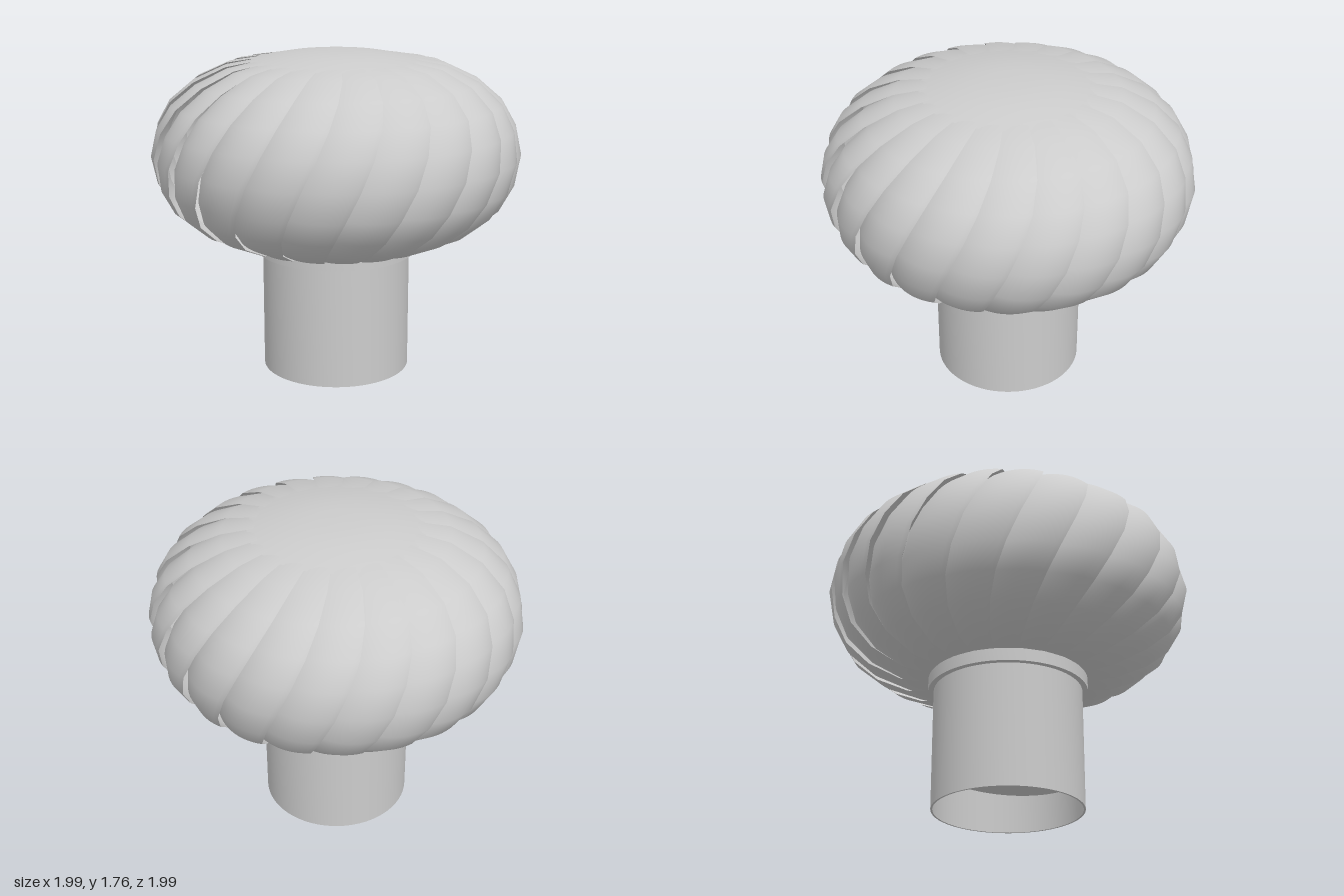
import * as THREE from 'three';
import { toCreasedNormals } from 'three/addons/utils/BufferGeometryUtils.js';

const VANES = 22;
const MID_Y = 1.22;          // height of the widest point of the head
const TWIST = 0.47;          // lean of the vanes, radians per unit of height

const material = new THREE.MeshStandardMaterial({ color: 0xcccccc, side: THREE.DoubleSide });

// Profile of a vane from neck to crown: radius, height
const profile = [
  [0.43, 0.733], [0.59, 0.755], [0.77, 0.835], [0.898, 0.94], [0.968, 1.065], [0.998, MID_Y],
  [0.968, 1.37], [0.895, 1.5], [0.766, 1.61], [0.594, 1.69], [0.41, 1.72],
];

function add(parent, name, geometry) {
  const mesh = new THREE.Mesh(geometry, material);
  mesh.name = name;
  parent.add(mesh);
  return mesh;
}

function lathe(points, sides = 64) {
  return new THREE.LatheGeometry(points.map(([r, y]) => new THREE.Vector2(r, y)), sides);
}

// One bulging, leaning blade: its leading edge stands proud, its trailing edge tucks under the next
function vaneGeometry() {
  const across = 12, along = profile.length - 1;
  const step = (2 * Math.PI) / VANES;
  const positions = [], indices = [];
  profile.forEach(([r, y], j) => {
    const depth = 0.003 + 0.04 * Math.sin((Math.PI * j) / along);
    for (let i = 0; i <= across; i++) {
      const u = -0.25 + (1.25 * i) / across;
      const f = 1 - depth * ((u - 0.7) / 0.7) ** 2;
      const angle = 0.02 + (u - 1) * step + (y - MID_Y) * TWIST;
      positions.push(r * f * Math.sin(angle), MID_Y + (y - MID_Y) * f, r * f * Math.cos(angle));
    }
  });
  for (let j = 0; j < along; j++) {
    for (let i = 0; i < across; i++) {
      const a = j * (across + 1) + i, b = a + across + 1;
      indices.push(a, a + 1, b + 1, a, b + 1, b);
    }
  }
  const geometry = new THREE.BufferGeometry();
  geometry.setAttribute('position', new THREE.Float32BufferAttribute(positions, 3));
  geometry.setIndex(indices);
  geometry.computeVertexNormals();
  return geometry;
}

export function createModel() {
  const model = new THREE.Group();
  model.name = 'turbineVent';

  // Ring of overlapping vanes
  const head = new THREE.Group();
  head.name = 'vaneHead';
  model.add(head);
  const blade = vaneGeometry();
  for (let k = 0; k < VANES; k++) {
    add(head, 'vane', blade).rotation.y = (k * 2 * Math.PI) / VANES;
  }

  // Shallow crown closing the top
  add(model, 'crownCap', lathe([
    [0.46, 1.709], [0.4, 1.723], [0.3, 1.742], [0.2, 1.755], [0.1, 1.761], [0, 1.762],
  ]));

  // Collar under the head
  add(model, 'collar', toCreasedNormals(lathe([
    [0.4, 0.735], [0.4, 0.665], [0.435, 0.665], [0.435, 0.735], [0.4, 0.735],
  ]), 0.6));

  // Open thin-walled pipe
  add(model, 'stemPipe', toCreasedNormals(lathe([
    [0.395, 0.735], [0.395, 0], [0.405, 0], [0.405, 0.735], [0.395, 0.735],
  ]), 0.6));

  // Slightly tilted damper plate inside the pipe
  const damper = add(model, 'damperPlate', new THREE.CylinderGeometry(0.4, 0.4, 0.01, 48));
  damper.position.y = 0.22;
  damper.quaternion.setFromAxisAngle(new THREE.Vector3(1, 0, 1).normalize(), 0.07);

  return model;
}
